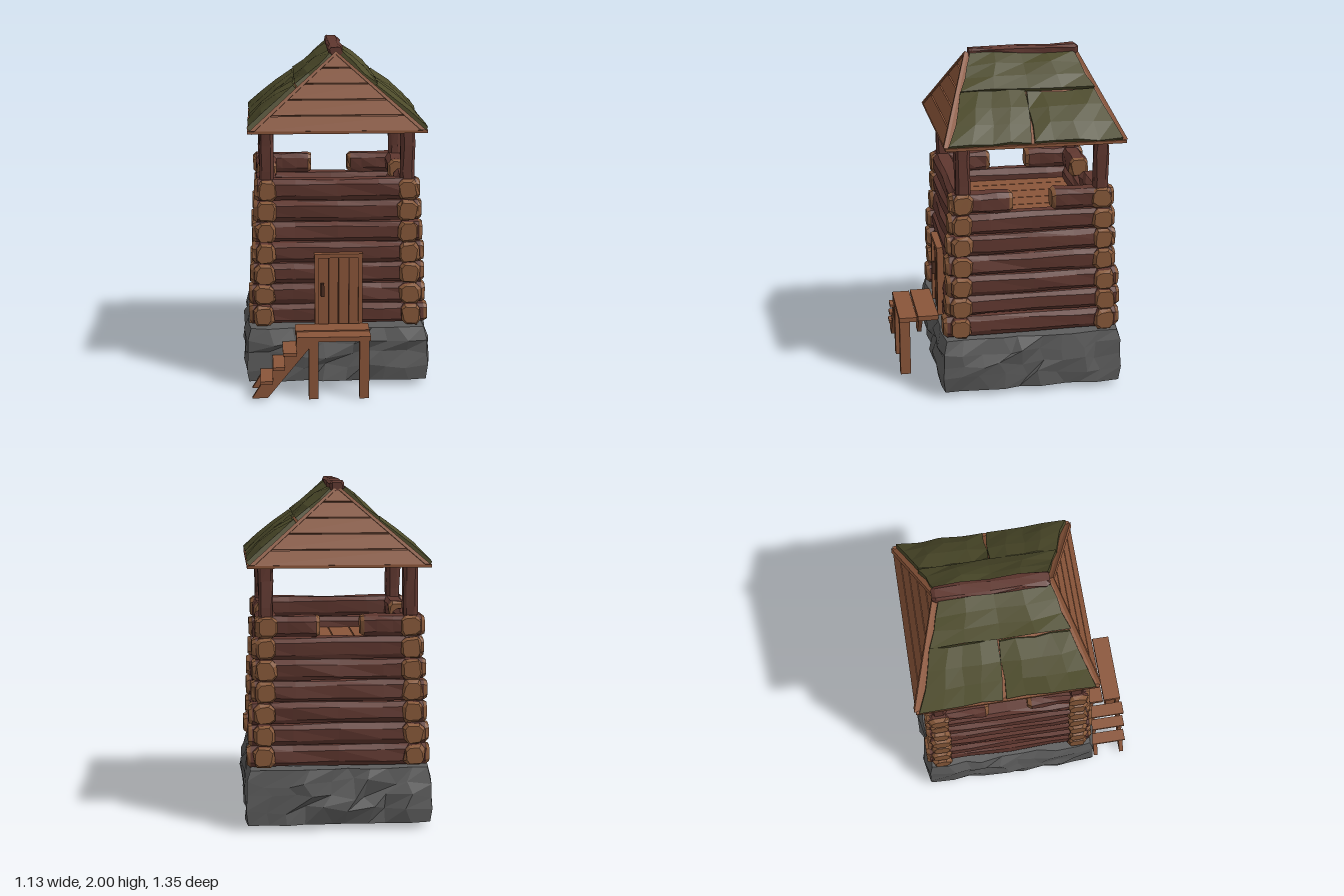
import * as THREE from 'three';

const mat = (name, color) => Object.assign(new THREE.MeshStandardMaterial({ color }), { name });
const V = (x, y, z) => new THREE.Vector3(x, y, z);
const lerp = THREE.MathUtils.lerp;
// repeatable noise in 0..1 from a position
const noise = (x, y, z) => {
  const s = Math.sin(x * 127.1 + y * 311.7 + z * 74.7) * 43758.5453;
  return s - Math.floor(s);
};

// faceted skin over rings of points, with optional end caps; tris of the first and last
// band plus caps form material group 1 when tips is set
function loft(rings, { caps = true, tips = false } = {}) {
  const pos = [], n = rings[0].length, last = rings.length - 2;
  const tri = (...p) => p.forEach(v => pos.push(v.x, v.y, v.z));
  const band = i => {
    for (let j = 0; j < n; j++) {
      const k = (j + 1) % n, [p, q] = [rings[i], rings[i + 1]];
      tri(p[j], p[k], q[k]);
      tri(p[j], q[k], q[j]);
    }
  };
  for (let i = tips ? 1 : 0; i <= (tips ? last - 1 : last); i++) band(i);
  const body = pos.length / 3;
  if (tips) { band(0); band(last); }
  if (caps) for (let j = 1; j < n - 1; j++) {
    const a = rings[0], b = rings[last + 1];
    tri(a[0], a[j + 1], a[j]);
    tri(b[0], b[j], b[j + 1]);
  }
  const g = new THREE.BufferGeometry();
  g.setAttribute('position', new THREE.Float32BufferAttribute(pos, 3));
  g.computeVertexNormals();
  if (tips) {
    g.addGroup(0, body, 0);
    g.addGroup(body, pos.length / 3 - body, 1);
  }
  return g;
}

// flat polygon thickened along an offset
function slab(pts, off) {
  const nrm = pts[1].clone().sub(pts[0]).cross(pts[2].clone().sub(pts[0]));
  const p = nrm.dot(off) < 0 ? [...pts].reverse() : pts;
  return loft([p, p.map(v => v.clone().add(off))]);
}

// chamfered log along x with uneven sides and bevelled tips
const SECTION = [[.5, -.3], [.5, .3], [.28, .5], [-.28, .5], [-.5, .3], [-.5, -.3], [-.28, -.5], [.28, -.5]];
function logGeometry(len, h, d, seed) {
  const e = len / 2, rings = [];
  const xs = [-e, -e + .022];
  for (let i = 1; i < 4; i++) xs.push(lerp(-e, e, i / 4));
  xs.push(e - .022, e);
  xs.forEach((x, i) => {
    const s = i === 0 || i === 6 ? .8 : 1;
    rings.push(SECTION.map(([y, z], j) => V(x,
      y * h * s + (noise(i, j, seed) - .5) * .01,
      z * d * s + (noise(j, seed, i) - .5) * .016)));
  });
  return loft(rings, { tips: true });
}

export function createModel() {
  const model = new THREE.Group();
  model.name = 'watchtower';
  const wood = mat('plankWood', 0x8a5539), bark = mat('logBark', 0x5f372f);
  const cut = mat('cutLogEnd', 0x865839), stone = mat('stone', 0x5c5c5c);
  const moss = mat('mossRoof', 0x4c4a2a), iron = mat('darkIron', 0x4a2c20);
  const put = (parent, name, geo, m) => {
    const mesh = new THREE.Mesh(geo, m);
    mesh.name = name;
    parent.add(mesh);
    return mesh;
  };
  const group = (name, z = 0) => {
    const g = new THREE.Group();
    g.name = name;
    g.position.z = z;
    model.add(g);
    return g;
  };
  // box given by its min and max on each axis
  const box = (parent, name, m, x0, x1, y0, y1, z0, z1) => {
    const b = put(parent, name, new THREE.BoxGeometry(x1 - x0, y1 - y0, z1 - z0), m);
    b.position.set((x0 + x1) / 2, (y0 + y1) / 2, (z0 + z1) / 2);
    return b;
  };

  // rough stone foundation, open underneath
  const base = group('foundation', -.11);
  const square = (half, y, rough) => {
    const pts = [], n = 9;
    for (let s = 0; s < 4; s++) for (let k = 0; k < n; k++) {
      const r = noise(s + 1, k, y * 9), q = noise(k, y * 7, s + 3);
      const o = half + (k ? r * rough : rough * .3);
      const along = k ? lerp(-half, half, (k + (q - .5) * (rough ? .7 : 0)) / n) : -o;
      const p = V(along, y + (rough ? (noise(k, s, y) - .5) * (y > .05 && y < .34 ? .05 : .004) : 0), o);
      pts.push(p.applyAxisAngle(V(0, 1, 0), s * Math.PI / 2));
    }
    return pts;
  };
  const inner = square(.475, .035, 0);
  put(base, 'stoneWalls', loft([inner, square(.52, .033, .03), square(.525, .12, .05), square(.52, .2, .045),
    square(.52, .28, .045), square(.505, .357, .03), square(.44, .36, 0), square(.475, .34, 0), inner], { caps: false }), stone);
  box(base, 'foundationTop', stone, -.46, .46, .345, .358, -.46, .46);

  // log walls: seven tapering courses, the top one notched on three sides
  const walls = group('logWalls', -.115);
  for (let i = 0; i < 7; i++) {
    const t = i / 6, off = lerp(.435, .412, t), half = lerp(.53, .487, t);
    for (let s = 0; s < 4; s++) {
      const notched = i === 6 && s > 0;
      const spans = notched ? [[-half, -.115], [.115, half]] : [[-half, half]];
      for (const [a, b] of spans) {
        const seed = i * 5 + s + a;
        const wob = (noise(i, s, 4) - .5) * .018;
        const pivot = new THREE.Group();
        pivot.name = 'wallLog';
        pivot.rotation.y = s * Math.PI / 2;
        const l = put(pivot, 'log', logGeometry(b - a, .12, .118, seed), [bark, cut]);
        l.position.set((a + b) / 2 + wob, .43 + i * .125, off);
        walls.add(pivot);
      }
    }
  }

  // lookout floor
  for (let i = 0; i < 6; i++) {
    const x = -.39 + i * .13;
    box(walls, 'floorPlank', wood, x, x + .124, 1.02, 1.05, -.39, .39);
  }

  // corner posts
  for (const x of [-.415, .415]) for (const z of [-.405, .405]) {
    const post = put(walls, 'cornerPost', logGeometry(.6, .085, .085, x * 3 + z), bark);
    post.rotation.z = Math.PI / 2;
    post.position.set(x, 1.29, z);
  }

  // roof: two identical halves turned about the vertical axis
  const roof = group('roof', -.125);
  const W = .51, Y0 = 1.535, H = .435, ZE = .515, ZR = .315;
  const gable = (t, side) => V(side * W * (1 - t), Y0 + H * t, lerp(ZE, ZR, t));
  const slopeN = V(H, W, 0).normalize(), gableN = V(0, ZE - ZR, H).normalize();

  // moss sheet on the slope; u runs front to back, v from eave to ridge
  const mossSheet = (u0, u1, v0, v1, seed) => {
    const g = new THREE.BoxGeometry(1, 1, 1, 4, 1, 3), p = g.attributes.position;
    for (let i = 0; i < p.count; i++) {
      const x = p.getX(i), z = p.getZ(i), up = p.getY(i) > 0;
      const edge = Math.abs(x) > .49 || Math.abs(z) > .49;
      const v = lerp(v0, v1, .5 - z) + (noise(x, seed, z) - .5) * .025;
      const u = lerp(u0, u1, x + .5) + (noise(z, x, seed) - .5) * .025;
      const h = up ? (edge ? .012 : .026) + noise(x, z, seed) * .02 : 0;
      const zz = lerp(ZE, ZR, v) * (1 - 2 * u);
      const q = V(W * (1 - v), Y0 + H * v, zz).addScaledVector(slopeN, h);
      p.setXYZ(i, q.x, q.y, q.z);
    }
    const flat = g.toNonIndexed();
    flat.computeVertexNormals();
    return flat;
  };
  for (const turn of [0, Math.PI]) {
    const half = new THREE.Group();
    half.name = 'roofHalf';
    half.rotation.y = turn;
    roof.add(half);
    put(half, 'slopeBoards', slab([V(W, Y0, ZE), V(W, Y0, -ZE), V(0, Y0 + H, -ZR), V(0, Y0 + H, ZR)],
      slopeN.clone().multiplyScalar(-.02)), wood);
    put(half, 'mossLowerFront', mossSheet(.02, .475, .01, .55, 1), moss);
    put(half, 'mossLowerBack', mossSheet(.485, .98, .01, .53, 2), moss);
    put(half, 'mossUpper', mossSheet(.015, .985, .56, .96, 3), moss);
    // gable planks over a backing board
    put(half, 'gableBacking', slab([gable(0, -1), gable(0, 1), gable(1, 0)],
      gableN.clone().multiplyScalar(-.012)), wood);
    for (let k = 0; k < 5; k++) {
      const a = k / 5, b = a + .183;
      put(half, 'gablePlank', slab([gable(a, -.97), gable(a, .97), gable(b, .97), gable(b, -.97)],
        gableN.clone().multiplyScalar(.012)), wood);
    }
    // raking trim and eave boards
    for (const s of [-1, 1]) {
      const lo = gable(0, s), hi = gable(1, s), drop = V(-s * .03, 0, 0);
      put(half, 'rakeBoard', slab([lo, hi, hi.clone().add(V(0, -.02, .008)), lo.clone().add(drop)],
        gableN.clone().multiplyScalar(.02)), wood);
    }
    box(half, 'gableSill', wood, -.52, .52, 1.523, 1.54, .495, .525);
    box(half, 'eaveBoard', wood, .49, .522, 1.523, 1.54, -.52, .52);
  }
  const ridge = put(roof, 'ridgeBeam', logGeometry(.655, .055, .085, 8), bark);
  ridge.rotation.y = Math.PI / 2;
  ridge.position.set(0, 1.972, -.015);

  // door with frame and handle
  const door = group('door');
  for (let i = 0; i < 4; i++) {
    const x = -.112 + i * .0595;
    box(door, 'doorPlank', wood, x, x + .056, .37, .79, .34, .393 + (i % 2) * .005);
  }
  box(door, 'doorBacking', iron, -.112, .124, .37, .79, .335, .386);
  box(door, 'frameLeft', wood, .122, .146, .37, .8, .335, .41);
  box(door, 'frameRight', wood, -.136, -.112, .37, .8, .335, .41);
  box(door, 'frameTop', wood, -.138, .148, .785, .81, .335, .412);
  box(door, 'handle', iron, -.1, -.08, .55, .63, .393, .414);

  // landing
  const landing = group('landing');
  box(landing, 'landingPlank', wood, -.255, .18, .353, .382, .41, .535);
  box(landing, 'landingPlank', wood, -.25, .18, .35, .378, .543, .65);
  for (const x of [-.18, .115]) box(landing, 'landingLeg', wood, x, x + .056, 0, .352, .585, .648);

  // stairs: two stepped stringers with treads
  const stairs = group('stairs');
  const outline = new THREE.Shape([[-.51, .012], [-.42, .012], [-.17, .32], [-.17, .352], [-.25, .352], [-.25, .27],
    [-.32, .27], [-.32, .185], [-.39, .185], [-.39, .1], [-.455, .1]].map(p => new THREE.Vector2(...p)));
  for (const z of [.45, .622]) {
    const s = put(stairs, 'stringer', new THREE.ExtrudeGeometry(outline, { depth: .026, bevelEnabled: false }), wood);
    s.position.z = z;
  }
  [[-.462, -.388, .1], [-.388, -.318, .185], [-.33, -.25, .27]].forEach(([a, b, y], i) =>
    box(stairs, 'tread', wood, a, b, y, y + .018, .437 + i * .003, .662 + i * .002));

  return model;
}
